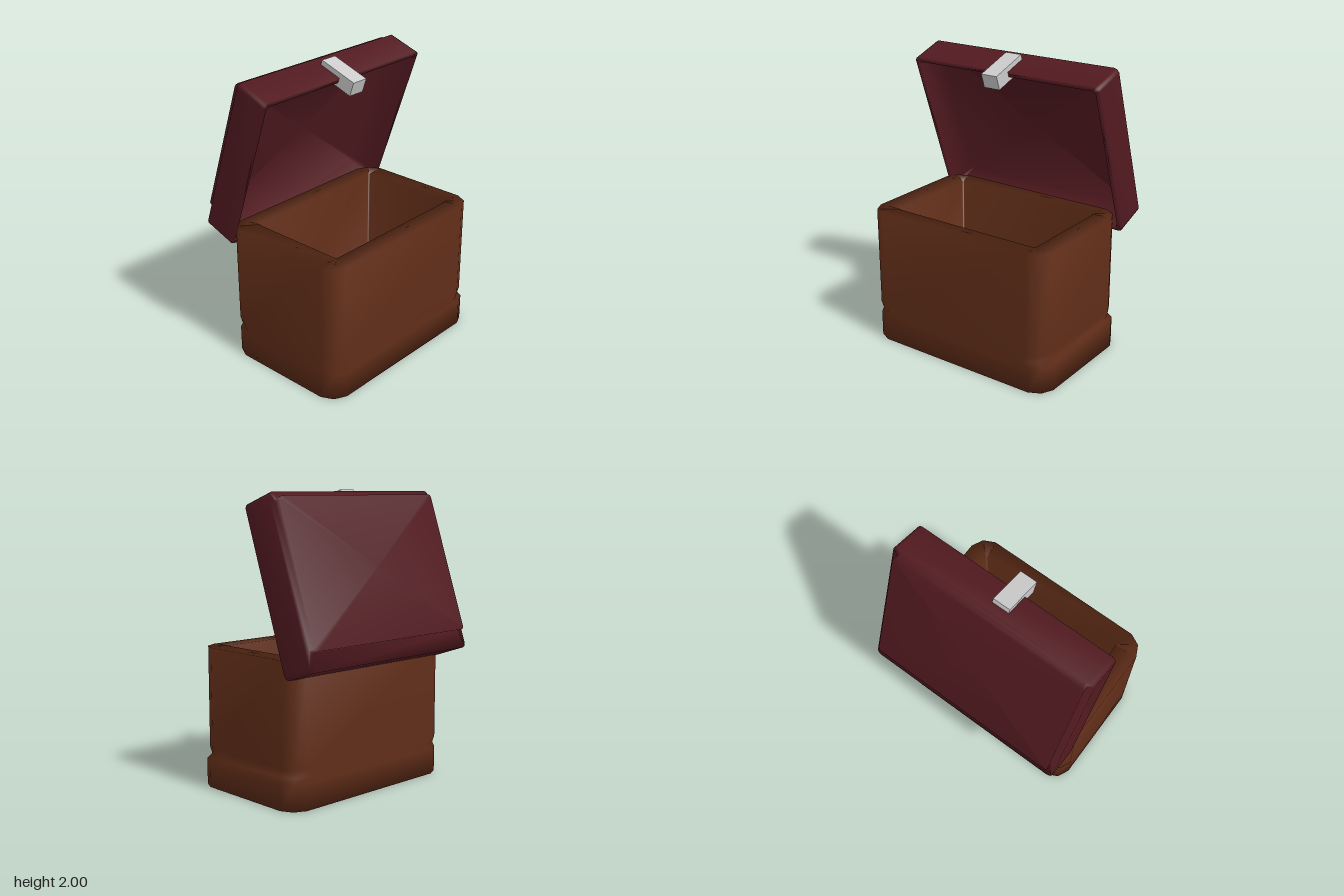
import * as THREE from 'three';

// Rectangle outline with rounded-off corners, three points per corner
function outline({ y, cx = 0, hx = 0, front = 0, back = -front, cut = 0 }) {
  const m = cut * 0.33;
  const corner = (sx, z) => {
    const s = Math.sign(z) || 1;
    const onZ = [cx + sx * (hx - cut), y, z];
    const mid = [cx + sx * (hx - m), y, z - s * m];
    const onX = [cx + sx * hx, y, z - s * cut];
    return [onZ, mid, onX];
  };
  return [
    ...corner(1, front), ...corner(1, back).reverse(),
    ...corner(-1, back), ...corner(-1, front).reverse(),
  ];
}

// Skin a sequence of outlines with shared vertices for soft shading
function loft(sections) {
  const rings = sections.map(outline);
  const n = rings[0].length;
  const index = [];
  for (let r = 0; r < rings.length - 1; r++) {
    for (let i = 0; i < n; i++) {
      const j = (i + 1) % n;
      const a = r * n + i, b = r * n + j, c = b + n, d = a + n;
      index.push(a, b, c, a, c, d);
    }
  }
  const geo = new THREE.BufferGeometry();
  geo.setAttribute('position', new THREE.Float32BufferAttribute(rings.flat(2), 3));
  geo.setIndex(index);
  geo.computeVertexNormals();
  return geo;
}

function part(name, geometry, color) {
  const mesh = new THREE.Mesh(geometry, new THREE.MeshStandardMaterial({ color }));
  mesh.name = name;
  return mesh;
}

export function createModel() {
  const model = new THREE.Group();
  model.name = 'openChest';

  // Hollow body with a base band and a slight groove above it
  const outer = { cx: 0.0975, hx: 0.4775, front: 0.72, back: -0.72, cut: 0.12 };
  const inner = { cx: 0.0975, hx: 0.3525, front: 0.56, cut: 0.01 };
  model.add(part('body', loft([
    { y: 0, cx: 0.0975 },
    { ...outer, y: 0 },
    { ...outer, y: 0.18 },
    { ...outer, y: 0.21, back: -0.695, cut: 0.15 },
    { ...outer, y: 0.26, back: -0.695 },
    { ...outer, y: 0.955, back: -0.695 },
    { ...inner, y: 0.955 },
    { ...inner, y: 0.1 },
    { y: 0.1, cx: 0.0975 },
  ]), 0x602d18));

  // Lid swung open about the hinge: local x runs along it, y points outward
  const lid = new THREE.Group();
  lid.name = 'lid';
  lid.position.set(-0.34, 0.84, 0);
  lid.rotation.z = 1.237;
  model.add(lid);

  const rim = { cx: 0.566, hx: 0.566, front: 0.737, cut: 0.03 };
  const hollow = { cx: 0.566, hx: 0.531, front: 0.7, cut: 0.02 };
  const panel = { cx: 0.605, hx: 0.485, front: 0.7, cut: 0.02 };
  lid.add(part('lidShell', loft([
    { y: 0.235, cx: 0.566 },
    { ...hollow, y: 0.235 },
    { ...hollow, y: 0 },
    { ...rim, y: 0 },
    { ...rim, y: 0.236 },
    { ...panel, y: 0.236 },
    { ...panel, y: 0.287 },
    { y: 0.287, cx: 0.605 },
  ]), 0x521a20));

  // Latch clasped over the free edge of the lid
  const latch = part('latch', new THREE.BoxGeometry(0.1, 0.288, 0.122), 0xcccccc);
  latch.position.set(1.117, 0.027, 0.012);
  lid.add(latch);

  return model;
}
